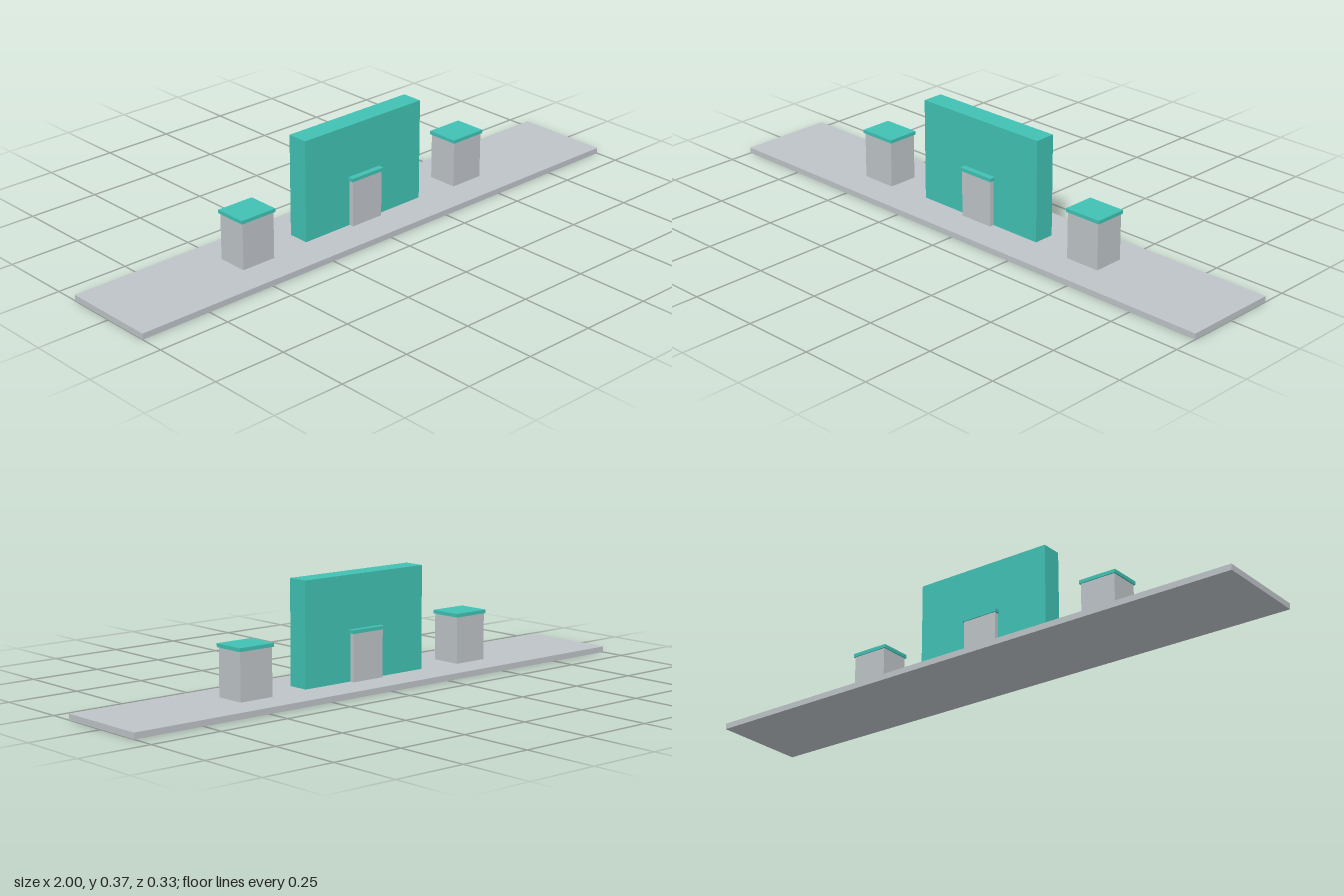
import * as THREE from 'three';

export function createModel() {
  const model = new THREE.Group();
  model.name = 'plinthWithWall';

  const grey = new THREE.MeshStandardMaterial({ color: 0xbdc3c7 });
  grey.name = 'light grey';
  const teal = new THREE.MeshStandardMaterial({ color: 0x40c1b3 });
  teal.name = 'teal';

  // Box centred on z = 0, spanning y0 to y1
  function block(name, material, width, depth, y0, y1, x = 0) {
    const mesh = new THREE.Mesh(new THREE.BoxGeometry(width, y1 - y0, depth), material);
    mesh.name = name;
    mesh.position.set(x, (y0 + y1) / 2, 0);
    return mesh;
  }

  // Long base slab and the central wall standing on it
  model.add(block('baseSlab', grey, 2, 0.333, 0, 0.02));
  model.add(block('centralWall', teal, 0.5, 0.073, 0.01, 0.367));

  // Three capped posts, the middle one passing through the wall
  const posts = { rightPost: -0.46, middlePost: 0, leftPost: 0.46 };
  for (const [name, x] of Object.entries(posts)) {
    const post = new THREE.Group();
    post.name = name;
    post.position.x = x;
    post.add(block('pillar', grey, 0.125, 0.106, 0.01, 0.178));
    post.add(block('cap', teal, 0.135, 0.113, 0.178, 0.19));
    model.add(post);
  }

  return model;
}
